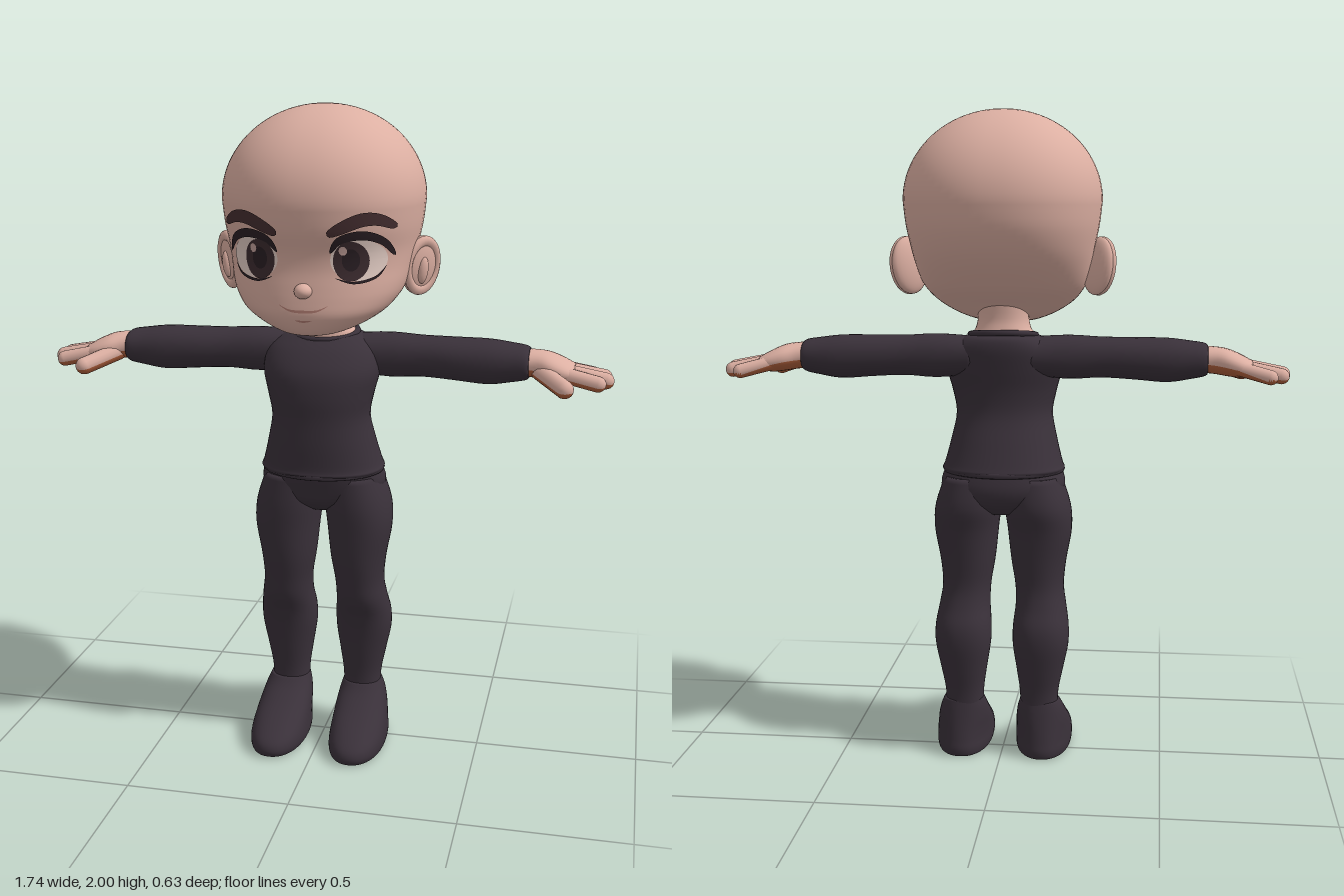
import * as THREE from 'three';
import { mergeGeometries } from 'three/addons/utils/BufferGeometryUtils.js';

const material = (name, color, side = THREE.FrontSide) => {
  const m = new THREE.MeshStandardMaterial({ color, side });
  m.name = name;
  return m;
};

// Smoothly subdivide rings [y, halfWidth, zFront, zBack, centreX]
function smoothRings(rings, steps = 4) {
  const r = rings.map(([y, w, f, b, cx = 0]) => [y, w, f, b, cx]).sort((a, b) => a[0] - b[0]);
  const out = [];
  for (let i = 0; i < r.length - 1; i++) {
    const p0 = r[Math.max(i - 1, 0)], p1 = r[i], p2 = r[i + 1], p3 = r[Math.min(i + 2, r.length - 1)];
    for (let s = 0; s < steps; s++) {
      const t = s / steps;
      out.push(p1.map((v, k) => v + 0.5 * t * (p2[k] - p0[k] +
        t * (2 * p0[k] - 5 * v + 4 * p2[k] - p3[k] + t * (3 * (v - p2[k]) + p3[k] - p0[k])))));
    }
  }
  out.push(r[r.length - 1]);
  return out;
}

// Closed skin over a stack of rounded rings
const POWER = 2.2;
function loft(rings, n = 40) {
  const first = rings[0], last = rings[rings.length - 1];
  const point = ([y, , f, b, cx]) => [y, 0, (f + b) / 2, (f + b) / 2, cx];
  const all = [point(first), ...rings, point(last)];
  const pos = [], index = [];
  const round = v => Math.sign(v) * Math.abs(v) ** (2 / POWER);
  all.forEach(([y, w, f, b, cx], i) => {
    for (let j = 0; j < n; j++) {
      const a = j / n * Math.PI * 2;
      pos.push(cx + w * round(Math.cos(a)), y, (f + b) / 2 + (f - b) / 2 * round(Math.sin(a)));
      if (i === all.length - 1) continue;
      const p = i * n + j, q = i * n + (j + 1) % n;
      index.push(p, p + n, q, q, p + n, q + n);
    }
  });
  const g = new THREE.BufferGeometry();
  g.setAttribute('position', new THREE.Float32BufferAttribute(pos, 3));
  g.setIndex(index);
  g.computeVertexNormals();
  return g;
}

function mirror(geo) {
  const g = geo.clone().scale(-1, 1, 1), ix = g.index.array;
  for (let i = 0; i < ix.length; i += 3) [ix[i], ix[i + 1]] = [ix[i + 1], ix[i]];
  return g;
}

// Sort faces into an upper group and an underside group
function splitUnderside(g) {
  const up = [], down = [], nor = g.attributes.normal, ix = g.index.array;
  for (let i = 0; i < ix.length; i += 3) {
    const f = [ix[i], ix[i + 1], ix[i + 2]];
    const ny = f.reduce((s, v) => s + nor.getY(v), 0) / 3;
    (ny < -0.3 ? down : up).push(...f);
  }
  g.setIndex([...up, ...down]);
  g.clearGroups();
  g.addGroup(0, up.length, 0);
  g.addGroup(up.length, down.length, 1);
  return g;
}

function capsule(a, b, r) {
  const from = new THREE.Vector3(...a), dir = new THREE.Vector3(...b).sub(from);
  const g = new THREE.CapsuleGeometry(r, dir.length(), 6, 14);
  g.applyQuaternion(new THREE.Quaternion().setFromUnitVectors(new THREE.Vector3(0, 1, 0), dir.clone().normalize()));
  g.translate(...from.addScaledVector(dir, 0.5).toArray());
  g.deleteAttribute('uv');
  return g;
}

export function createModel() {
  const root = new THREE.Group();
  root.name = 'figure';
  const skin = material('skin', 0xdcafa2), suit = material('suit', 0x3a313a), palm = material('palm', 0xb0603c);
  const white = material('eyeWhite', 0xead3ca, THREE.DoubleSide), iris = material('iris', 0x3d2c30, THREE.DoubleSide);
  const lash = material('lash', 0x2a1f24, THREE.DoubleSide), hair = material('brow', 0x452e30, THREE.DoubleSide);
  const lip = material('lip', 0xb27d72, THREE.DoubleSide), glint = material('glint', 0xc9a6a0, THREE.DoubleSide);
  const add = (name, geo, mat) => {
    const m = new THREE.Mesh(geo, mat);
    m.name = name;
    root.add(m);
  };
  const pair = (name, geo, mat) => {
    add(name + 'Left', geo, mat);
    add(name + 'Right', mirror(geo), mat);
  };

  // Head: jaw and cheeks below, dome above
  const headRings = smoothRings([
    [1.355, .05, .235, .12], [1.363, .095, .255, .05], [1.385, .15, .272, -.02], [1.42, .205, .285, -.08],
    [1.46, .24, .284, -.15], [1.5, .258, .28, -.2], [1.55, .27, .275, -.25], [1.6, .28, .28, -.285],
    [1.66, .292, .3, -.31], [1.73, .3, .31, -.32]]);
  for (let i = 1; i <= 24; i++) {
    const a = i / 24 * Math.PI / 2, c = Math.max(Math.cos(a), 0.001);
    headRings.push([1.73 + .27 * Math.sin(a), .3 * c, -.005 + .315 * c, -.005 - .315 * c, 0]);
  }
  add('head', loft(headRings, 64), skin);
  add('nose', new THREE.SphereGeometry(1, 20, 14).scale(.026, .022, .03).translate(0, 1.492, .281), skin);

  // Ears: flared plate, raised rim and inner fold
  const place = g => g.rotateY(.85).rotateZ(-.12).translate(.287, 1.535, -.005);
  pair('ear', place(new THREE.SphereGeometry(1, 24, 18).scale(.066, .088, .026)), skin);
  pair('earRim', place(new THREE.TorusGeometry(1, .22, 10, 32).scale(.054, .073, .055).translate(0, 0, .012)), skin);
  pair('earFold', place(new THREE.SphereGeometry(1, 14, 10).scale(.017, .04, .014).translate(-.005, -.012, .024)), skin);

  // Face details lie on the head surface
  const faceZ = (x, y) => {
    const i = Math.max(headRings.findIndex(r => r[0] > y), 1);
    const a = headRings[i - 1], b = headRings[i], t = (y - a[0]) / (b[0] - a[0]);
    const [, w, f, k] = a.map((v, j) => v + (b[j] - v) * t);
    return (f + k) / 2 + (f - k) / 2 * Math.max(0, 1 - Math.min(1, Math.abs(x) / w) ** POWER) ** (1 / POWER);
  };
  const drape = (g, lift) => {
    const p = g.attributes.position;
    for (let i = 0; i < p.count; i++) p.setZ(i, faceZ(p.getX(i), p.getY(i)) + lift);
    g.computeVertexNormals();
    return g;
  };
  const disc = (x, y, rx, ry, lift) =>
    drape(new THREE.RingGeometry(.001, 1, 36, 8).scale(rx, ry, 1).translate(x, y, 0), lift);
  // Tapered stroke along a curve; taper below 1 keeps the ends blunt
  const stroke = (points, width, lift, taper = 1) => {
    const curve = new THREE.SplineCurve(points.map(p => new THREE.Vector2(...p)));
    const g = new THREE.PlaneGeometry(1, 1, 28, 5), p = g.attributes.position;
    for (let i = 0; i < p.count; i++) {
      const u = p.getX(i) + .5, c = curve.getPoint(u), d = curve.getTangent(u);
      const h = p.getY(i) * width * Math.max(Math.sin(Math.PI * u), 0) ** taper;
      p.setXY(i, c.x - d.y * h, c.y + d.x * h);
    }
    return drape(g, lift);
  };
  pair('eyeWhite', disc(.15, 1.58, .074, .06, .002), white);
  pair('iris', disc(.132, 1.577, .048, .057, .004), iris);
  pair('pupil', disc(.132, 1.58, .024, .032, .005), lash);
  for (const s of [-1, 1]) add('eyeGlint', disc(s * .132 - .02, 1.607, .011, .013, .007), glint);
  pair('upperLash', stroke([[.076, 1.6], [.105, 1.637], [.165, 1.65], [.215, 1.63], [.242, 1.585]], .026, .006, .6), lash);
  pair('lowerLash', stroke([[.09, 1.53], [.14, 1.516], [.195, 1.528], [.222, 1.56]], .008, .006), lash);
  pair('eyebrow', stroke([[.072, 1.652], [.11, 1.672], [.165, 1.694], [.21, 1.692], [.25, 1.668]], .038, .009, .4), hair);
  add('mouth', stroke([[-.072, 1.452], [-.04, 1.437], [0, 1.434], [.04, 1.437], [.072, 1.452]], .008, .003), lip);
  add('lowerLip', stroke([[-.025, 1.408], [0, 1.405], [.025, 1.408]], .006, .003), lip);

  // Neck and torso
  add('neck', loft(smoothRings([[1.26, .1, .09, -.08], [1.325, .097, .083, -.085], [1.345, .085, .085, -.08],
    [1.38, .078, .088, -.074], [1.45, .08, .1, -.08]])), skin);
  add('shirt', loft(smoothRings([[.9, .18, .16, -.13], [.912, .19, .174, -.143], [.93, .183, .172, -.137],
    [1, .165, .175, -.112], [1.08, .15, .175, -.085], [1.15, .162, .178, -.085], [1.22, .178, .168, -.098],
    [1.28, .168, .13, -.108], [1.315, .13, .092, -.104], [1.327, .1, .075, -.09]])), suit);
  add('collar', new THREE.TorusGeometry(1, .1, 8, 40).rotateX(Math.PI / 2).scale(.1, .09, .092)
    .rotateX(.13).translate(0, 1.326, -.004), suit);
  add('hem', new THREE.TorusGeometry(1, .06, 8, 48).rotateX(Math.PI / 2).scale(.18, .17, .152)
    .translate(0, .908, .015), suit);
  add('hips', loft(smoothRings([[.775, .06, .07, -.08], [.81, .15, .115, -.12], [.86, .193, .132, -.133],
    [.92, .178, .145, -.12]])), suit);

  // Legs and shoes
  pair('leg', loft(smoothRings([[.89, .085, .12, -.115, .095], [.8, .102, .125, -.128, .108], [.72, .1, .12, -.11, .115],
    [.62, .086, .11, -.095, .112], [.54, .076, .095, -.088, .115], [.48, .079, .083, -.1, .12],
    [.42, .087, .058, -.122, .122], [.36, .087, .043, -.125, .122], [.28, .073, .03, -.112, .12],
    [.2, .06, .02, -.098, .118], [.12, .06, .02, -.095, .118]])), suit);
  pair('shoe', loft(smoothRings([[.178, .062, .02, -.095, .12], [.15, .072, .05, -.1, .122], [.115, .08, .11, -.106, .124],
    [.08, .085, .185, -.112, .126], [.05, .088, .235, -.117, .127], [.025, .089, .249, -.121, .127],
    [.006, .086, .243, -.118, .127], [0, .08, .23, -.11, .127]])), suit);

  // Sleeves: stacks laid along x
  const sideways = rings => loft(smoothRings(rings), 28).rotateZ(-Math.PI / 2);
  pair('sleeve', sideways([[.08, .058, .06, -.09, -1.262], [.2, .067, .06, -.085, -1.26], [.3, .062, .06, -.08, -1.26],
    [.4, .064, .07, -.083, -1.257], [.5, .067, .073, -.083, -1.253], [.57, .058, .069, -.076, -1.254],
    [.61, .051, .067, -.07, -1.255], [.622, .044, .06, -.064, -1.255]]), suit);

  // Hands: palm, four fingers and thumb
  const parts = [sideways([[.6, .04, .055, -.06, -1.256], [.64, .041, .058, -.065, -1.254], [.68, .041, .072, -.08, -1.248],
    [.72, .035, .073, -.084, -1.238], [.755, .022, .06, -.075, -1.232]])];
  const fingers = [[.7, -.055, .806, -.088, .022], [.71, -.025, .84, -.046, .024], [.71, .01, .845, .004, .025],
    [.7, .04, .824, .052, .024]];
  for (const [x0, z0, x1, z1, r] of fingers) parts.push(capsule([x0, 1.238, z0], [x1, 1.212, z1], r));
  parts.push(capsule([.655, 1.238, .035], [.732, 1.208, .125], .027));
  const hand = mergeGeometries(parts);
  add('handLeft', splitUnderside(hand.clone()), [skin, palm]);
  add('handRight', splitUnderside(mirror(hand)), [skin, palm]);

  return root;
}
